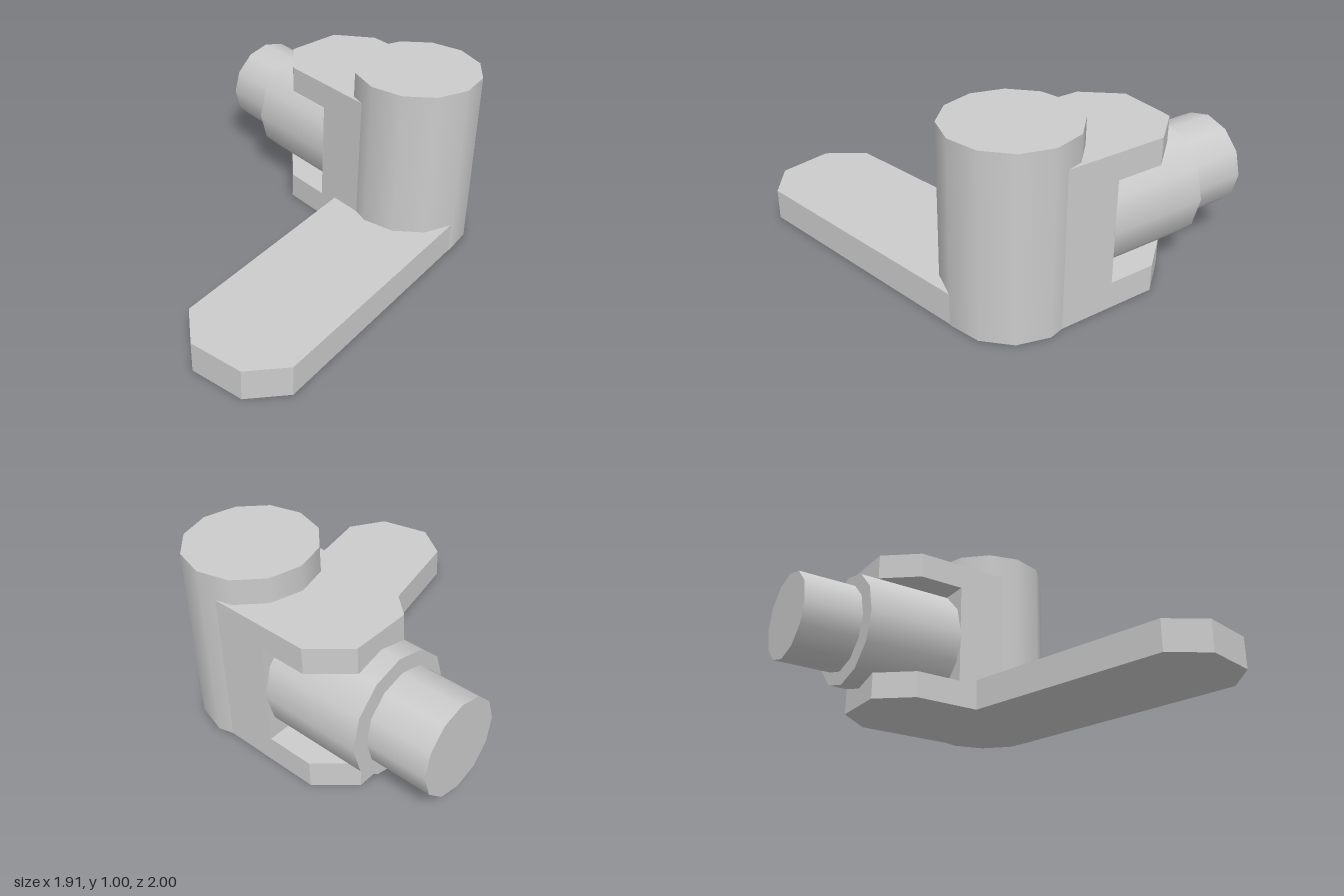
import * as THREE from 'three';

const material = new THREE.MeshStandardMaterial({ color: 0xcccccc });

// Flat plate with an outline of [x, z] points, spanning heights y0 to y1
function plate(name, outline, y0, y1) {
  const shape = new THREE.Shape(outline.map(([x, z]) => new THREE.Vector2(x, z)));
  const geometry = new THREE.ExtrudeGeometry(shape, { depth: y1 - y0, bevelEnabled: false });
  geometry.rotateX(Math.PI / 2).translate(0, y1, 0);
  const mesh = new THREE.Mesh(geometry, material);
  mesh.name = name;
  return mesh;
}

// Twelve-sided smooth cylinder lying along x between x0 and x1
function rod(name, radius, x0, x1) {
  const geometry = new THREE.CylinderGeometry(radius, radius, x1 - x0, 12);
  geometry.rotateZ(Math.PI / 2);
  const mesh = new THREE.Mesh(geometry, material);
  mesh.position.set((x0 + x1) / 2, 0.43, -0.658);
  mesh.name = name;
  return mesh;
}

export function createModel() {
  const model = new THREE.Group();
  model.name = 'leverHinge';

  // Upright pivot post
  const post = new THREE.Mesh(new THREE.CylinderGeometry(0.343, 0.343, 1, 12), material);
  post.name = 'pivotPost';
  post.position.set(0.33, 0.5, -0.657);
  model.add(post);

  // Lever arm with a clipped tip, its root buried in the post
  model.add(plate('leverArm', [
    [0, -0.62], [0.67, -0.655], [0.955, 0.73], [0.825, 0.93], [0.53, 0.997], [0.325, 0.865],
  ], 0, 0.173));

  // Forked yoke: two chamfered cheeks joined by a web
  const yoke = new THREE.Group();
  yoke.name = 'yoke';
  const cheek = [
    [-0.05, -0.978], [-0.05, -0.338], [-0.312, -0.338], [-0.502, -0.497], [-0.502, -0.819], [-0.312, -0.978],
  ];
  yoke.add(plate('lowerCheek', cheek, 0, 0.147));
  yoke.add(plate('upperCheek', cheek, 0.715, 0.86));
  yoke.add(plate('web', [[-0.05, -0.978], [0.33, -0.978], [0.33, -0.338], [-0.05, -0.338]], 0, 0.86));
  model.add(yoke);

  // Barrel held in the fork, and the separate end pin
  model.add(rod('barrel', 0.325, -0.61, -0.045));
  model.add(rod('endPin', 0.252, -0.96, -0.625));

  return model;
}
